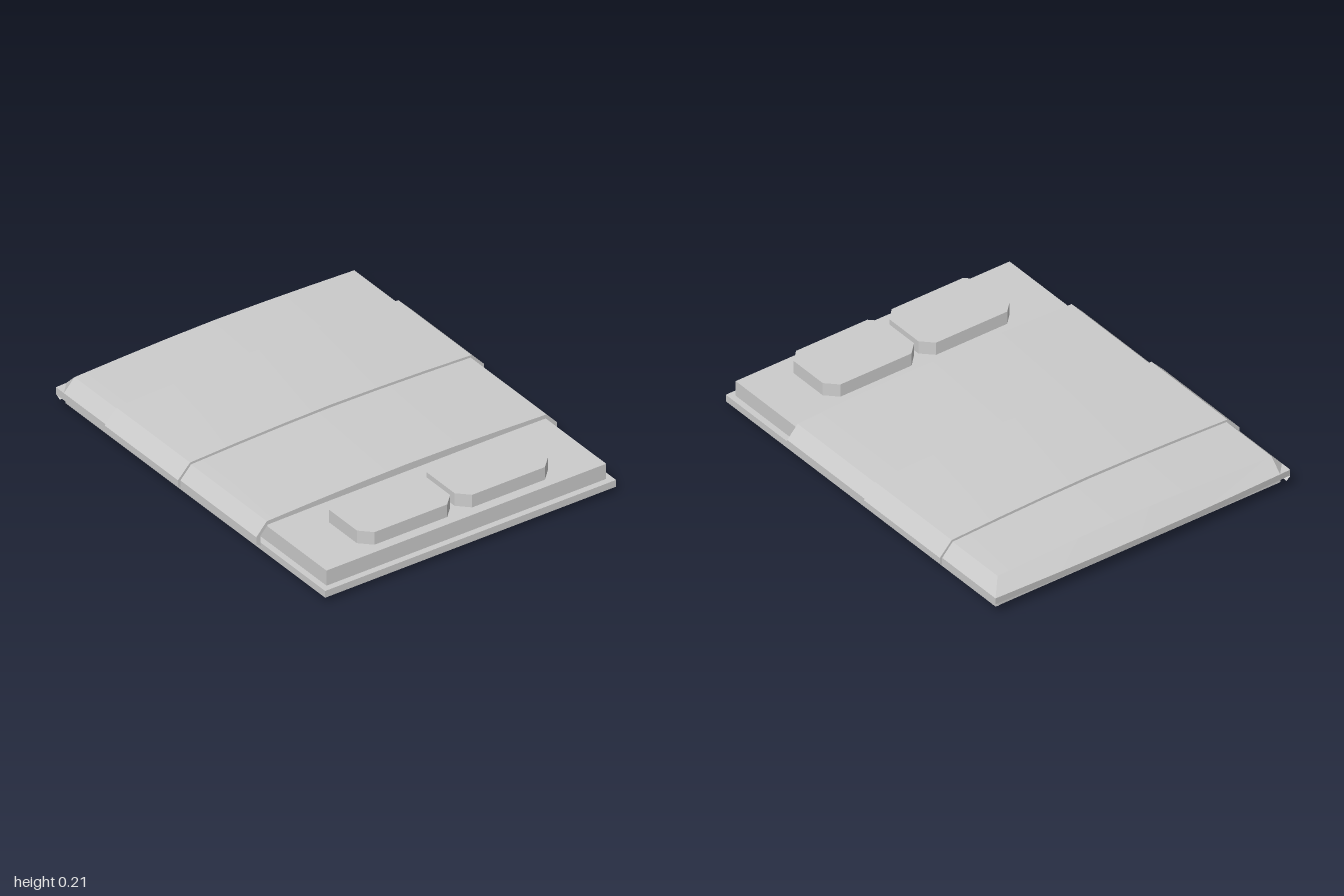
import * as THREE from 'three';
import { toCreasedNormals } from 'three/addons/utils/BufferGeometryUtils.js';

const material = new THREE.MeshStandardMaterial({ color: 0xcccccc });
const clothMaterial = new THREE.MeshStandardMaterial({ color: 0xcccccc, side: THREE.DoubleSide });

// Box given by half width, y range and z range
function slab(name, halfW, y0, y1, z0, z1) {
  const mesh = new THREE.Mesh(new THREE.BoxGeometry(halfW * 2, y1 - y0, z1 - z0), material);
  mesh.position.set(0, (y0 + y1) / 2, (z0 + z1) / 2);
  mesh.name = name;
  return mesh;
}

// Mirror a half profile (side to centre) into a full one, +x to -x
function mirrored(half) {
  return [...half, ...half.slice(0, -1).reverse().map(([x, y]) => [-x, y])];
}

// Sheet through rows of [x, y, z] points
function sheet(name, rows) {
  const n = rows[0].length;
  const index = [];
  for (let i = 0; i < rows.length - 1; i++) {
    for (let j = 0; j < n - 1; j++) {
      const a = i * n + j, b = a + n;
      index.push(a, b, a + 1, b, b + 1, a + 1);
    }
  }
  const geometry = new THREE.BufferGeometry();
  geometry.setAttribute('position', new THREE.Float32BufferAttribute(rows.flat(2), 3));
  geometry.setIndex(index);
  const mesh = new THREE.Mesh(toCreasedNormals(geometry, 0.45), clothMaterial);
  mesh.name = name;
  return mesh;
}

const atZ = (profile, z) => profile.map(([x, y]) => [x, y, z]);

// Pillow: rectangle with cut corners, extruded upwards
function pillow(name, x) {
  const w = 0.25, d = 0.16, c = 0.055;
  const shape = new THREE.Shape([
    [w - c, -d], [w, -d + c], [w, d - c], [w - c, d],
    [-w + c, d], [-w, d - c], [-w, -d + c], [-w + c, -d],
  ].map(([px, py]) => new THREE.Vector2(px, py)));
  const geometry = new THREE.ExtrudeGeometry(shape, { depth: 0.065, bevelEnabled: false });
  geometry.rotateX(-Math.PI / 2);
  const mesh = new THREE.Mesh(geometry, material);
  mesh.position.set(x, 0.143, 0.758);
  mesh.name = name;
  return mesh;
}

export function createModel() {
  const model = new THREE.Group();
  model.name = 'bed';

  // Plinth, frame and mattress
  model.add(slab('plinth', 0.7, 0, 0.03, -0.87, 0.92));
  model.add(slab('frame', 0.78, 0.03, 0.065, -0.95, 1));
  model.add(slab('mattress', 0.75, 0.065, 0.143, -0.9, 0.968));

  // Pillows
  model.add(pillow('leftPillow', 0.262), pillow('rightPillow', -0.262));

  // Blanket: folded lip at the front, sloping and tucked under at the foot
  const outer = mirrored([[0.785, 0.055], [0.807, 0.068], [0.807, 0.105], [0.75, 0.167],
    [0.5, 0.176], [0.25, 0.183], [0, 0.186]]);
  const inner = mirrored([[0.782, 0.055], [0.785, 0.068], [0.785, 0.105], [0.745, 0.148],
    [0.5, 0.15], [0.25, 0.15], [0, 0.15]]);
  const foot = (top, tuck) => outer.map(([x, y]) =>
    [x, Math.min(y, top), -0.985 - 0.015 * (1 - (x / 0.807) ** 2) + tuck]);
  model.add(sheet('blanket', [
    atZ(inner, 0.3), atZ(inner, 0.52), atZ(outer, 0.52), atZ(outer, -0.925),
    foot(0.105, 0), foot(0.07, 0.005), foot(0.055, 0.03),
  ]));

  // Throw laid across the blanket, its ends closed down onto it
  const throwProfile = mirrored([[0.8, 0.075], [0.82, 0.08], [0.82, 0.11], [0.755, 0.178],
    [0.5, 0.189], [0.25, 0.196], [0, 0.2]]);
  model.add(sheet('throw', [
    atZ(outer, -0.05), atZ(throwProfile, -0.05), atZ(throwProfile, -0.6), atZ(outer, -0.6),
  ]));

  return model;
}
